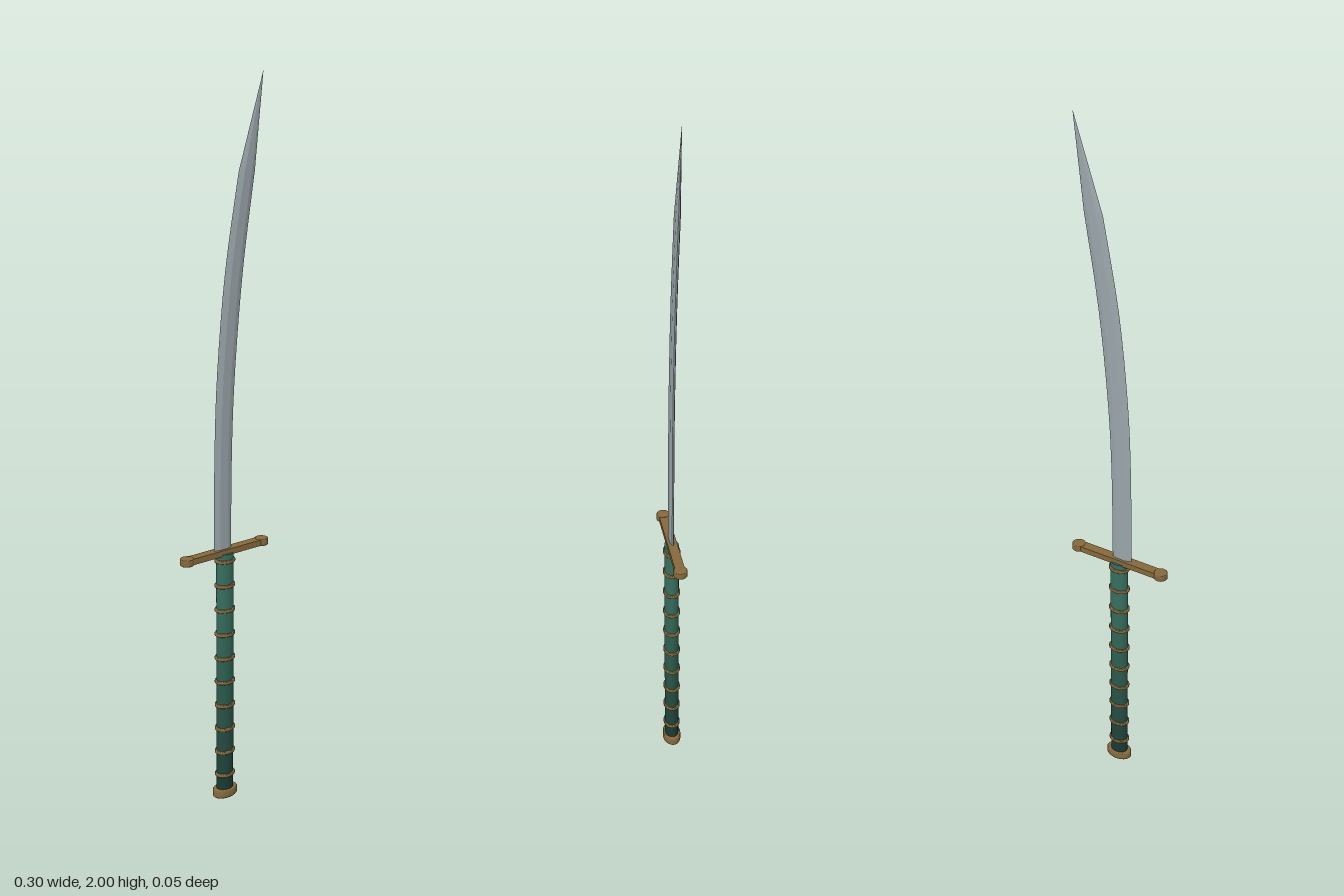
import * as THREE from 'three';

const brass = new THREE.MeshStandardMaterial({ color: 0x86693c });
const steel = new THREE.MeshStandardMaterial({ color: 0x9aa5a9, flatShading: true });

function add(parent, name, geometry, material, x = 0, y = 0, z = 0) {
  const mesh = new THREE.Mesh(geometry, material);
  mesh.name = name;
  mesh.position.set(x, y, z);
  parent.add(mesh);
}

// Smooth edge curve through [x, y] points
const edge = (pts) => new THREE.SplineCurve(pts.map(([x, y]) => new THREE.Vector2(x, y)));

// Curved single-edged blade, lofted from thin bevelled sections
function bladeGeometry() {
  const cutting = edge([[-0.039, 0.742], [-0.036, 1.02], [-0.026, 1.24], [0.001, 1.5], [0.046, 1.75]]);
  const spine = edge([[0.02, 0.742], [0.023, 1.02], [0.034, 1.24], [0.06, 1.5], [0.099, 1.75]]);
  const rows = [];
  for (let i = 0; i <= 16; i++) rows.push([cutting.getPoint(i / 16), spine.getPoint(i / 16), 1]);
  // The clipped point narrows to the tip
  const tip = new THREE.Vector2(0.128, 2);
  const [a, b] = rows[16];
  for (const t of [0.35, 0.7, 1]) rows.push([a.clone().lerp(tip, t), b.clone().lerp(tip, t), 1 - t]);

  // Section: fraction across the width, half thickness
  const section = [[0, 0], [0.3, 0.006], [0.75, 0.006], [1, 0.002], [1, -0.002], [0.75, -0.006], [0.3, -0.006]];
  const n = section.length, pos = [], index = [];
  for (const [l, r, s] of rows)
    for (const [u, z] of section) pos.push(l.x + (r.x - l.x) * u, l.y + (r.y - l.y) * u, z * s);
  for (let i = 0; i < rows.length - 1; i++)
    for (let j = 0; j < n; j++) {
      const p = i * n + j, q = i * n + (j + 1) % n;
      index.push(p, q, q + n, p, q + n, p + n);
    }
  for (let j = 1; j < n - 1; j++) index.push(0, j + 1, j);
  const g = new THREE.BufferGeometry();
  g.setAttribute('position', new THREE.Float32BufferAttribute(pos, 3));
  g.setIndex(index);
  g.computeVertexNormals();
  return g;
}

// Oval disc with softened rims
function ovalDisc(rx, rz, h, bevel) {
  const pts = [[0, 0], [rx - bevel, 0], [rx, bevel], [rx, h - bevel], [rx - bevel, h], [0, h]];
  return new THREE.LatheGeometry(pts.map(([x, y]) => new THREE.Vector2(x, y)), 32).scale(1, 1, rz / rx);
}

export function createModel() {
  const model = new THREE.Group();
  model.name = 'curvedSword';

  add(model, 'blade', bladeGeometry(), steel);

  // Crossguard with round ends
  const guard = new THREE.Group();
  guard.name = 'crossguard';
  model.add(guard);
  add(guard, 'guardBar', new THREE.BoxGeometry(0.266, 0.017, 0.027), brass, 0, 0.735);
  for (const side of [-1, 1])
    add(guard, side > 0 ? 'guardEndLeft' : 'guardEndRight', ovalDisc(0.019, 0.019, 0.02, 0.002), brass, side * 0.132, 0.725);

  // Grip in bands that darken downward, parted by brass rings
  const grip = new THREE.Group();
  grip.name = 'grip';
  model.add(grip);
  const ringY = [];
  for (let i = 0; i < 10; i++) ringY.push(0.068 + i * 0.0713);
  const stops = [0.02, ...ringY, 0.731];
  const dark = new THREE.Color(0x1a3a33), light = new THREE.Color(0x376e5e);
  for (let i = 0; i < stops.length - 1; i++) {
    const h = stops[i + 1] - stops[i];
    const color = dark.clone().lerp(light, Math.min(1, i / 8));
    const band = new THREE.CylinderGeometry(0.026, 0.026, h, 32).scale(1, 1, 0.77);
    add(grip, 'gripBand', band, new THREE.MeshStandardMaterial({ color }), 0, stops[i] + h / 2);
  }
  for (const y of ringY)
    add(grip, 'gripRing', ovalDisc(0.031, 0.024, 0.01, 0.002), brass, 0, y - 0.005);

  add(model, 'pommel', ovalDisc(0.039, 0.026, 0.024, 0.003), brass);
  return model;
}
